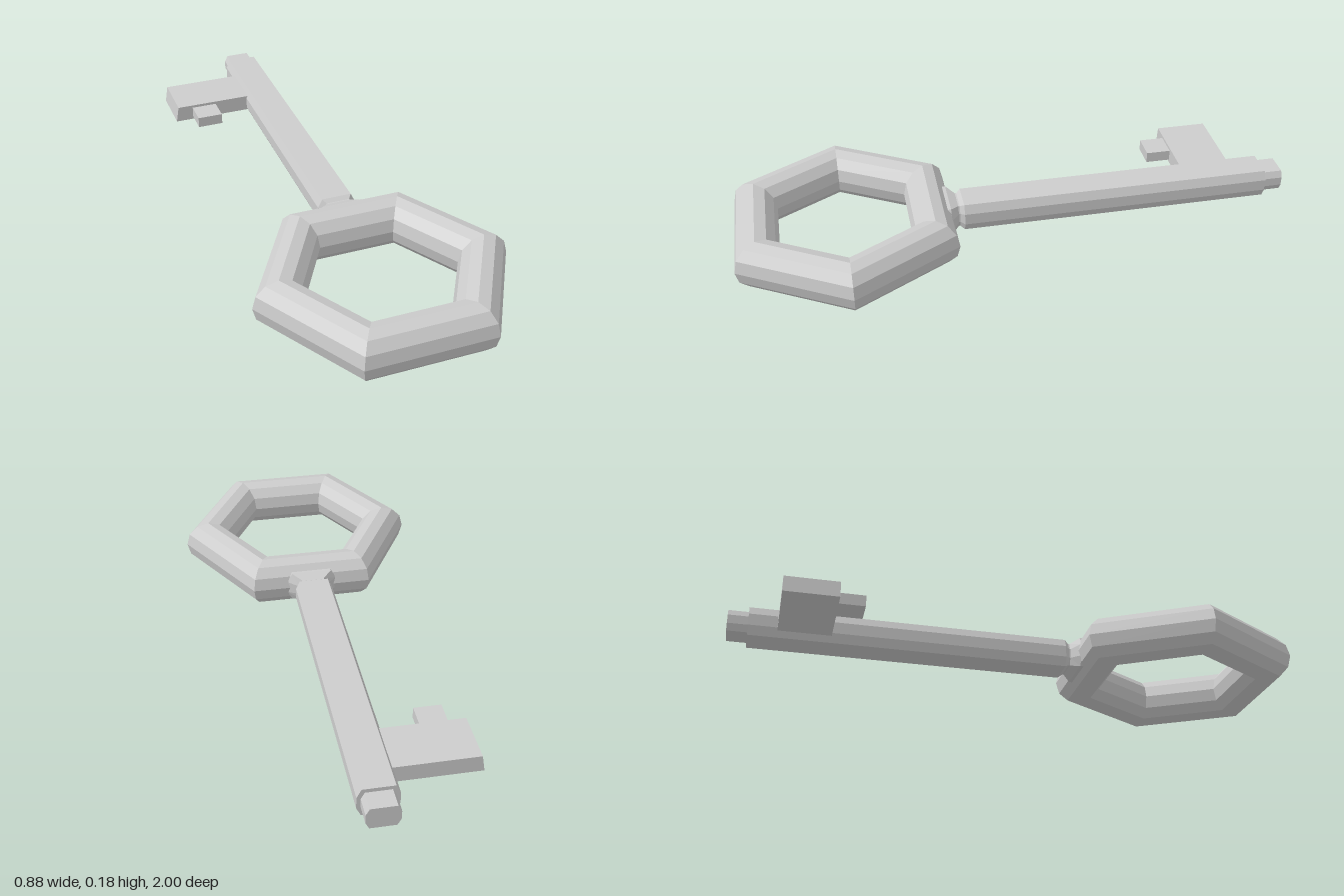
import * as THREE from 'three';

const CY = 0.0885; // height of the key's middle plane

// Faceted normals
function facet(geometry) {
  const g = geometry.index ? geometry.toNonIndexed() : geometry;
  g.computeVertexNormals();
  return g;
}

// Eight-sided bar along z through sections [z, halfWidth, halfHeight]
function loftBar(sections) {
  const corners = [[1, -0.4], [1, 0.4], [0.78, 1], [-0.78, 1], [-1, 0.4], [-1, -0.4], [-0.78, -1], [0.78, -1]];
  const n = corners.length, pos = [], idx = [];
  for (const [z, w, h] of sections) for (const [u, v] of corners) pos.push(u * w, v * h, z);
  for (let s = 0; s < sections.length - 1; s++) {
    for (let i = 0; i < n; i++) {
      const j = (i + 1) % n;
      const a = s * n + i, b = s * n + j, c = b + n, d = a + n;
      idx.push(a, b, c, a, c, d);
    }
  }
  const last = (sections.length - 1) * n;
  for (let i = 1; i < n - 1; i++) {
    idx.push(0, i + 1, i);
    idx.push(last, last + i, last + i + 1);
  }
  const g = new THREE.BufferGeometry();
  g.setAttribute('position', new THREE.Float32BufferAttribute(pos, 3));
  g.setIndex(idx);
  return facet(g);
}

export function createModel() {
  const key = new THREE.Group();
  key.name = 'key';
  const steel = new THREE.MeshStandardMaterial({ color: 0xcccccc });
  steel.name = 'steel grey';

  const add = (name, geometry, x, y, z) => {
    const mesh = new THREE.Mesh(geometry, steel);
    mesh.name = name;
    mesh.position.set(x, y, z);
    key.add(mesh);
    return mesh;
  };

  // Hexagonal ring handle
  const ring = new THREE.TorusGeometry(0.352, 0.0885, 12, 6);
  ring.rotateX(Math.PI / 2);
  add('ringHandle', facet(ring), 0, CY, 0.618);

  // Tip, shaft and the flared neck that runs into the ring
  add('tip', loftBar([[-1, 0.055, 0.039], [-0.92, 0.055, 0.039]]), 0, CY, 0);
  add('shaft', loftBar([[-0.93, 0.068, 0.0525], [0.195, 0.068, 0.0525], [0.21, 0.053, 0.043]]), 0, CY, 0);
  add('neck', loftBar([[0.2, 0.053, 0.043], [0.215, 0.053, 0.043], [0.245, 0.095, 0.056], [0.28, 0.095, 0.056]]), 0, CY, 0);

  // Bit plate with a slightly slanted outer end
  const bit = new THREE.BoxGeometry(0.33, 0.06, 0.185);
  const p = bit.attributes.position;
  for (let i = 0; i < p.count; i++) {
    if (p.getX(i) < 0 && p.getY(i) > 0) p.setX(i, p.getX(i) + 0.01);
  }
  add('bit', facet(bit), -0.195, CY, -0.7375);

  // Small tooth on the bit
  add('tooth', new THREE.BoxGeometry(0.095, 0.04, 0.11), -0.245, CY, -0.61);

  return key;
}
